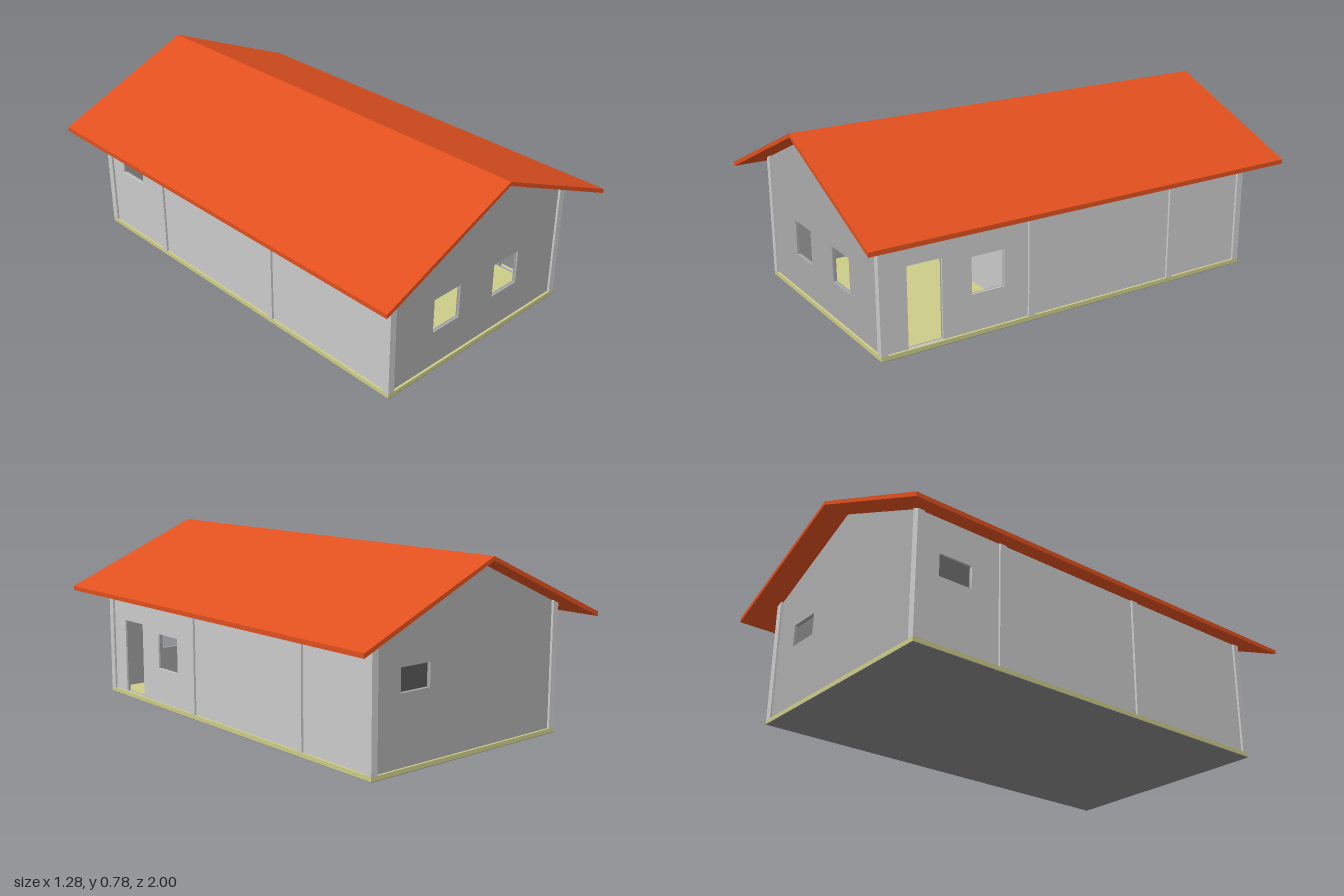
import * as THREE from 'three';

const mat = (color) => new THREE.MeshStandardMaterial({ color, flatShading: true });
const light = mat(0xcccccc), gable = mat(0xacacac), lining = mat(0x9e9e9e);
const dark = mat(0x565656), floorMat = mat(0xcccc88), roofMat = mat(0xe0501f), under = mat(0x888888);

// height of the roof underside at a given x
const roofY = (x) => 0.76 - 0.433 * Math.abs(x);
const FLOOR = 0.02;

const rectangle = ([u0, u1, v0, v1]) => [[u0, v0], [u1, v0], [u1, v1], [u0, v1]];
const toPath = (pts, Type) => new Type(pts.map(([a, b]) => new THREE.Vector2(a, b)));

// flat panel with rectangular openings, extruded along +z
function panel(outline, openings, depth) {
  const shape = toPath(outline, THREE.Shape);
  for (const o of openings) shape.holes.push(toPath(rectangle(o).reverse(), THREE.Path));
  return new THREE.ExtrudeGeometry(shape, { depth, bevelEnabled: false });
}

// house-shaped outline reaching the roof
const gableOutline = (w) => [[-w, FLOOR], [w, FLOOR], [w, roofY(w)], [0, roofY(0)], [-w, roofY(w)]];

export function createModel() {
  const house = new THREE.Group();
  house.name = 'house';
  const add = (name, geometry, material, x = 0, y = 0, z = 0) => {
    const mesh = new THREE.Mesh(geometry, material);
    mesh.name = name;
    mesh.position.set(x, y, z);
    house.add(mesh);
    return mesh;
  };

  // floor slab with grey underside
  add('floorSlab', new THREE.BoxGeometry(1.02, 0.018, 1.8), floorMat, 0, 0.011, 0);
  add('slabUnderside', new THREE.BoxGeometry(1.02, 0.002, 1.8), under, 0, 0.001, 0);

  // roof: bent slab running along z
  const roof = [[-0.64, 0.483], [0, 0.76], [0.64, 0.483], [0.64, 0.502], [0, 0.777], [-0.64, 0.502]];
  add('roof', panel(roof, [], 2), roofMat, 0, 0, -1);

  // gable walls: outer skin plus inner lining
  const frontWindows = [[-0.26, -0.11, 0.175, 0.325], [0.092, 0.243, 0.175, 0.325]];
  const backWindow = [[0.21, 0.36, 0.3, 0.395]];
  const ends = [['front', 1, frontWindows], ['back', -1, backWindow]];
  for (const [name, s, openings] of ends) {
    const outer = panel(gableOutline(0.495), openings, 0.008);
    const inner = panel(gableOutline(0.484), openings, 0.008);
    add(name + 'Wall', outer, gable, 0, 0, s * 0.886 - 0.004);
    add(name + 'WallLining', inner, lining, 0, 0, s * 0.878 - 0.004);
  }

  // long walls, drawn in (z, y) and turned to face sideways
  const leftOpenings = [[0.35, 0.5, 0.175, 0.33], [0.63, 0.78, 0.021, 0.355]];
  const rightOpenings = [[-0.79, -0.64, 0.3, 0.395]];
  for (const [name, s, openings] of [['left', 1, leftOpenings], ['right', -1, rightOpenings]]) {
    const outline = rectangle([-0.885, 0.885, FLOOR, 0.542]);
    const make = () => panel(outline, openings, 0.008).rotateY(-Math.PI / 2);
    add(name + 'Wall', make(), light, s * 0.496 + 0.004);
    add(name + 'WallLining', make(), lining, s * 0.488 + 0.004);
  }

  // posts at the corners and along the long walls, tops cut to the roof slope
  for (const s of [-1, 1]) {
    for (const z of [0.885, 0.225, -0.495, -0.885]) {
      const a = s * 0.48, b = s * 0.51;
      const pts = [[a, FLOOR], [b, FLOOR], [b, roofY(b)], [a, roofY(a)]];
      add('post', panel(s > 0 ? pts : pts.reverse(), [], 0.03), light, 0, 0, z - 0.015);
    }
  }

  // cross walls inside
  add('frontPartition', panel(gableOutline(0.482), [[-0.36, -0.215, 0.021, 0.36]], 0.03), light, 0, 0, 0.21);
  add('backPartition', panel(gableOutline(0.482), [], 0.03), dark, 0, 0, -0.51);

  return house;
}
